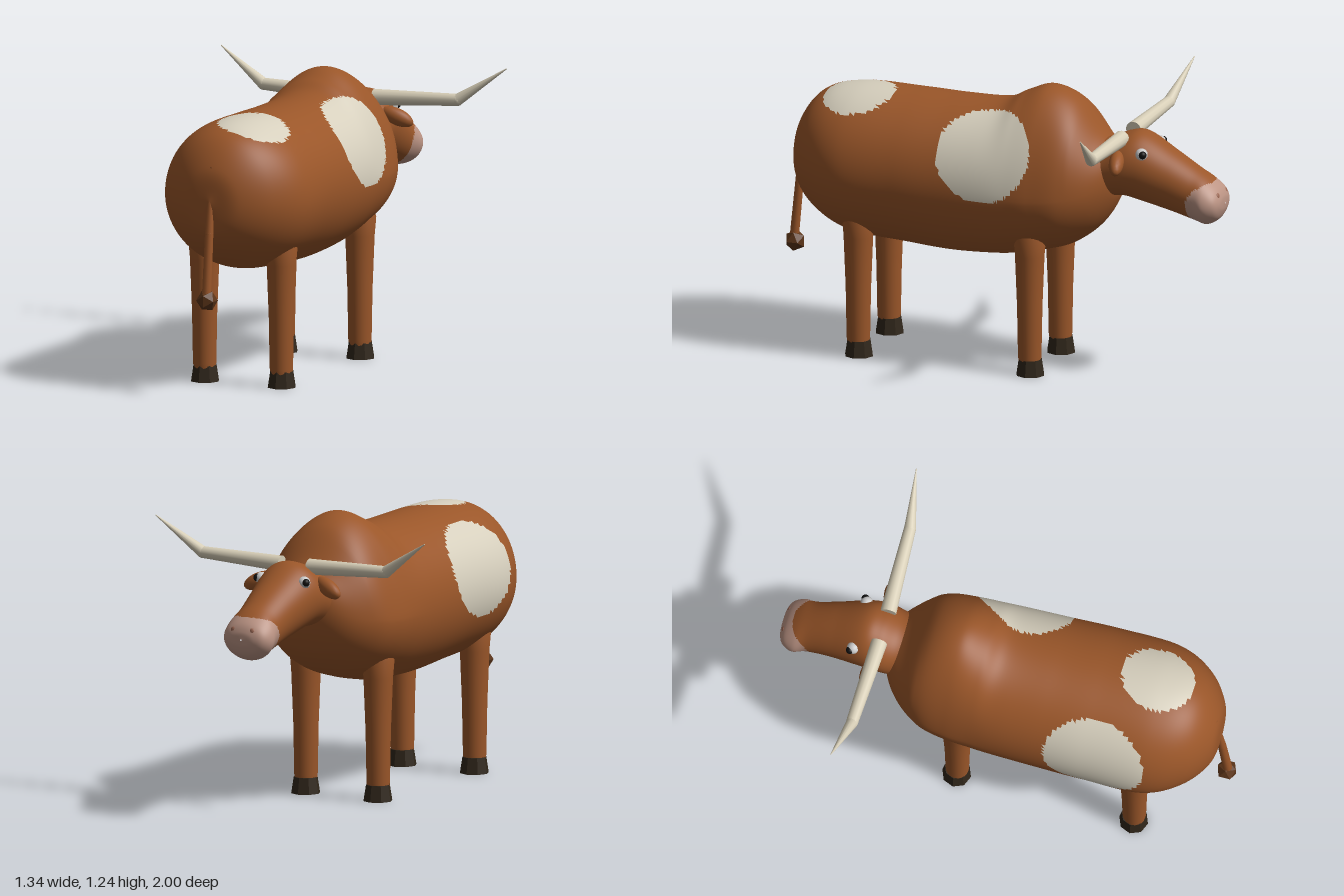
import * as THREE from 'three';

const COAT = 0x9a5629, CREAM = 0xd6cfbd, HORN = 0xd8cfb8, HOOF = 0x30261a, PINK = 0xbd9585;
const V = (x, y, z) => new THREE.Vector3(x, y, z);

function add(parent, name, geometry, color, flatShading = false) {
  const mesh = new THREE.Mesh(geometry, new THREE.MeshStandardMaterial({ color, flatShading }));
  mesh.name = name;
  parent.add(mesh);
  return mesh;
}

// Smooth skin through upright sections [z, top, bottom, half width, height of widest point], back to front
function skin(rows, steps, sides, narrow = 0) {
  const heights = new THREE.CatmullRomCurve3(rows.map(r => V(r[0], r[1], r[2])), false, 'catmullrom', 0.5);
  const widths = new THREE.CatmullRomCurve3(rows.map(r => V(r[0], r[3], r[4])), false, 'catmullrom', 0.5);
  const pos = [], index = [];
  for (let i = 0; i <= steps; i++) {
    const h = heights.getPoint(i / steps), w = widths.getPoint(i / steps);
    for (let j = 0; j < sides; j++) {
      const a = j / sides * Math.PI * 2, s = Math.sin(a);
      const pinch = 1 - narrow * Math.max(0, h.y - 1.15) * Math.max(0, s);
      pos.push(Math.cos(a) * w.y * pinch, w.z + s * (s > 0 ? h.y - w.z : w.z - h.z), h.x);
      if (i < steps) {
        const p = i * sides + j, q = i * sides + (j + 1) % sides;
        index.push(p, p + sides, q, q, p + sides, q + sides);
      }
    }
  }
  const g = new THREE.BufferGeometry();
  g.setAttribute('position', new THREE.Float32BufferAttribute(pos, 3));
  g.setIndex(index);
  g.computeVertexNormals();
  return g;
}

// Divide a skin in two by a test on the triangle centres, keeping the shared normals
function split(g, inside) {
  const p = g.attributes.position, idx = g.index.array, parts = [[], []];
  for (let i = 0; i < idx.length; i += 3) {
    const c = V(0, 0, 0);
    for (let k = 0; k < 3; k++) c.add(V().fromBufferAttribute(p, idx[i + k]));
    parts[inside(c.divideScalar(3)) ? 1 : 0].push(idx[i], idx[i + 1], idx[i + 2]);
  }
  return parts.map(list => {
    const part = new THREE.BufferGeometry();
    part.setAttribute('position', p);
    part.setAttribute('normal', g.attributes.normal);
    part.setIndex(list);
    return part;
  });
}

// Tapered rod between two points
function rod(parent, name, a, b, ra, rb, color) {
  const dir = b.clone().sub(a);
  const mesh = add(parent, name, new THREE.CylinderGeometry(rb, ra, dir.length(), 12), color);
  mesh.position.copy(a).add(b).multiplyScalar(0.5);
  mesh.quaternion.setFromUnitVectors(V(0, 1, 0), dir.normalize());
}

function ball(parent, name, center, size, color) {
  const mesh = add(parent, name, new THREE.SphereGeometry(1, 16, 12), color);
  mesh.position.copy(center);
  mesh.scale.copy(size);
  return mesh;
}

export function createModel() {
  const model = new THREE.Group();
  model.name = 'longhornedCow';

  // Body with shoulder hump and three pale patches
  const body = skin([
    [0.935, 0.84, 0.82, 0.005, 0.83],
    [0.915, 0.98, 0.69, 0.13, 0.83],
    [0.82, 1.105, 0.585, 0.25, 0.83],
    [0.66, 1.15, 0.51, 0.325, 0.82],
    [0.4, 1.15, 0.485, 0.33, 0.82],
    [0.2, 1.147, 0.472, 0.325, 0.81],
    [0, 1.155, 0.48, 0.32, 0.8],
    [-0.1, 1.2, 0.495, 0.317, 0.8],
    [-0.21, 1.237, 0.52, 0.312, 0.8],
    [-0.33, 1.19, 0.56, 0.288, 0.81],
    [-0.44, 1.06, 0.645, 0.215, 0.83],
    [-0.51, 0.98, 0.76, 0.12, 0.87],
    [-0.53, 0.89, 0.87, 0.005, 0.88],
  ], 130, 112, 1.6);
  const patches = [[V(0.25, 0.975, 0), 0.21], [V(0.075, 1.15, 0.64), 0.16], [V(-0.31, 0.93, 0.45), 0.22]];
  const [hide, spots] = split(body, c => patches.some(([p, r]) => c.distanceTo(p) < r));
  add(model, 'body', hide, COAT);
  add(model, 'coatPatches', spots, CREAM);

  // Neck, head and pink muzzle
  const head = new THREE.Group();
  head.name = 'head';
  model.add(head);
  const headSkin = skin([
    [-0.38, 1.03, 0.76, 0.13, 0.9],
    [-0.48, 1.035, 0.78, 0.14, 0.91],
    [-0.56, 1.07, 0.79, 0.148, 0.93],
    [-0.64, 1.077, 0.773, 0.14, 0.93],
    [-0.77, 1.005, 0.742, 0.118, 0.88],
    [-0.87, 0.945, 0.715, 0.108, 0.83],
    [-0.93, 0.908, 0.703, 0.117, 0.8],
    [-0.975, 0.87, 0.728, 0.098, 0.8],
    [-0.995, 0.835, 0.765, 0.06, 0.8],
    [-1, 0.803, 0.797, 0.004, 0.8],
  ], 80, 64);
  const [face, muzzle] = split(headSkin, c => Math.hypot(c.y - 0.78, c.z + 0.965) < 0.112);
  add(head, 'face', face, COAT);
  add(head, 'muzzle', muzzle, PINK);

  for (const s of [1, -1]) {
    const side = s > 0 ? 'left' : 'right';

    // Horns: level root, then an upswept tip
    const root = V(s * 0.07, 1.055, -0.555), elbow = V(s * 0.455, 1.07, -0.567), tip = V(s * 0.67, 1.215, -0.6);
    rod(head, side + 'HornRoot', root, elbow, 0.035, 0.026, HORN);
    ball(head, side + 'HornBend', elbow, V(0.026, 0.026, 0.026), HORN);
    rod(head, side + 'HornTip', elbow, tip, 0.026, 0.002, HORN);

    // Ears, eyes and nostrils
    const ear = ball(head, side + 'Ear', V(s * 0.17, 0.975, -0.57), V(0.075, 0.036, 0.032), COAT);
    ear.rotation.set(0, s * 0.25, -s * 0.4);
    ball(head, side + 'Eye', V(s * 0.106, 1.005, -0.66), V(0.027, 0.027, 0.027), 0xe8e8e8);
    ball(head, side + 'Pupil', V(s * 0.121, 1.008, -0.67), V(0.017, 0.017, 0.017), 0x101010);
    ball(head, side + 'Nostril', V(s * 0.045, 0.835, -0.981), V(0.016, 0.018, 0.01), 0x9a6753);

    // Legs and hooves
    for (const [end, z] of [['Front', -0.18], ['Hind', 0.6]]) {
      const x = s * 0.18;
      const leg = [[0.046, 0.05], [0.05, 0.08], [0.054, 0.3], [0.063, 0.53], [0.07, 0.61], [0.05, 0.68]];
      const upper = add(model, side + end + 'Leg',
        new THREE.LatheGeometry(leg.map(([r, y]) => new THREE.Vector2(r, y)), 20), COAT);
      upper.position.set(x, 0, z);
      const hoof = add(model, side + end + 'Hoof', new THREE.CylinderGeometry(0.052, 0.063, 0.07, 8), HOOF, true);
      hoof.position.set(x, 0.035, z - 0.003);
    }
  }

  // Tail and its tuft
  const bend = V(0, 0.7, 0.936);
  rod(model, 'tailRoot', V(0, 0.985, 0.905), bend, 0.01, 0.018, COAT);
  ball(model, 'tailBend', bend, V(0.018, 0.018, 0.018), COAT);
  rod(model, 'tailEnd', bend, V(0, 0.43, 0.962), 0.018, 0.02, COAT);
  const tuft = add(model, 'tailTuft', new THREE.IcosahedronGeometry(0.047, 0), 0x5c3519, true);
  tuft.position.set(0, 0.417, 0.957);
  return model;
}
